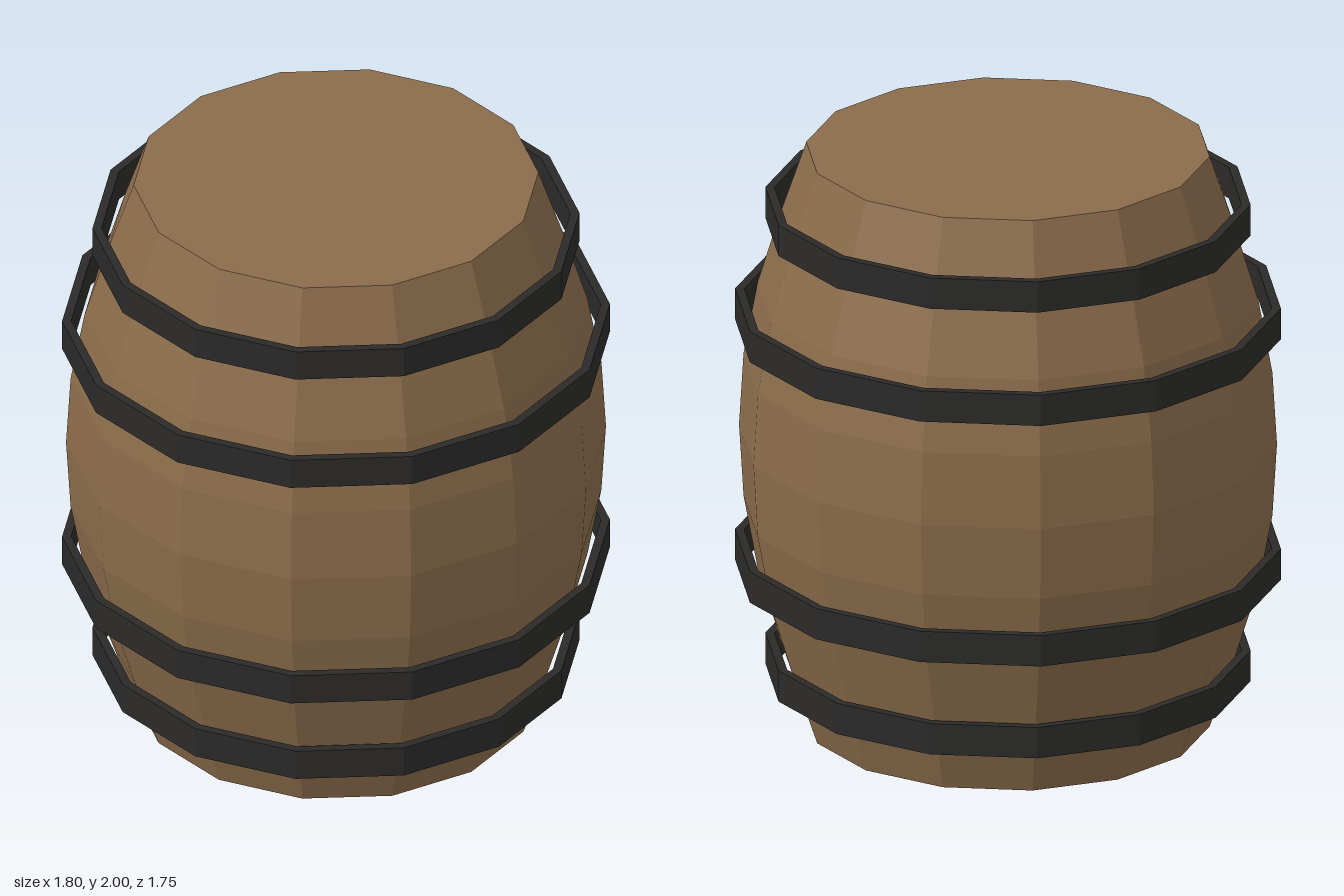
import * as THREE from 'three';

const SIDES = 14;

// Faceted solid of revolution with corners on the x axis
function turned(name, points, material) {
  const profile = points.map(([r, y]) => new THREE.Vector2(r, y));
  const mesh = new THREE.Mesh(new THREE.LatheGeometry(profile, SIDES, Math.PI / 2), material);
  mesh.name = name;
  return mesh;
}

export function createModel() {
  const group = new THREE.Group();
  group.name = 'barrel';
  const wood = new THREE.MeshStandardMaterial({ color: 0x8b6c4b, flatShading: true });
  const iron = new THREE.MeshStandardMaterial({ color: 0x2b2a29, flatShading: true });

  // Bulging wooden body with flat ends, symmetric about mid height
  const radii = [0.665, 0.75, 0.826, 0.872, 0.887, 0.872, 0.826, 0.75, 0.665];
  const staves = radii.map((r, i) => [r, i * 0.25]);
  group.add(turned('body', [[0, 0], ...staves, [0, 2]], wood));

  // Four iron hoops standing slightly clear of the wood
  const thickness = 0.03;
  const halfHeight = 0.054;
  for (const [name, r, offset] of [['outerHoop', 0.8, 0.782], ['middleHoop', 0.9, 0.422]]) {
    for (const side of [-1, 1]) {
      const y0 = 1 + side * offset - halfHeight;
      const y1 = y0 + 2 * halfHeight;
      const inner = r - thickness;
      const section = [[inner, y0], [r, y0], [r, y1], [inner, y1], [inner, y0]];
      group.add(turned(name + (side > 0 ? 'Top' : 'Bottom'), section, iron));
    }
  }
  return group;
}
